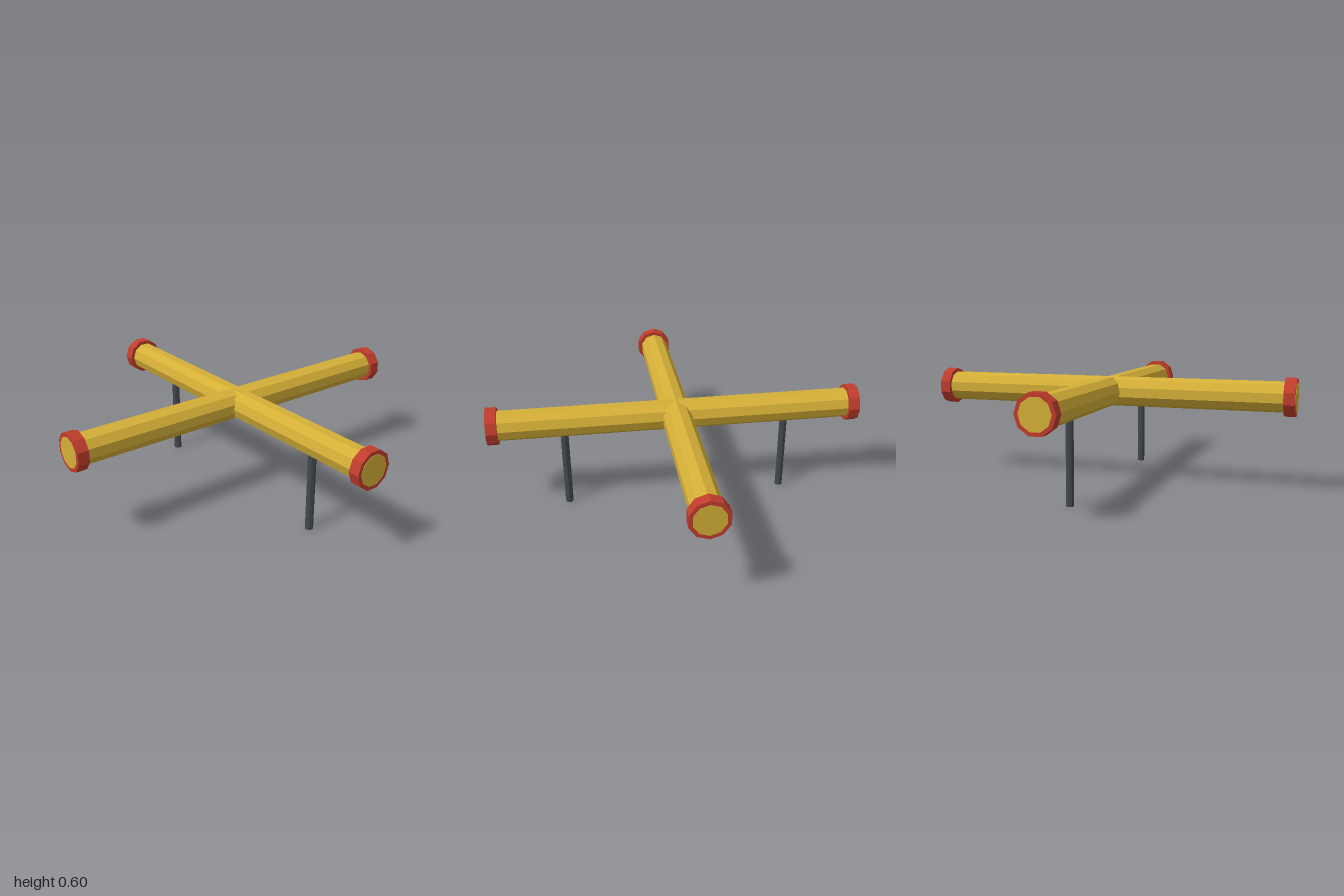
import * as THREE from 'three';

export function createModel() {
  const model = new THREE.Group();
  const material = (name, color) => {
    const m = new THREE.MeshStandardMaterial({ color, flatShading: true });
    m.name = name;
    return m;
  };
  const gold = material('gold', 0xd4af37);
  const red = material('red', 0xc03d2c);
  const steel = material('dark steel', 0x44474f);

  const rod = (parent, name, mat, radius, length, sides, x, y) => {
    const mesh = new THREE.Mesh(new THREE.CylinderGeometry(radius, radius, length, sides), mat);
    mesh.name = name;
    mesh.position.set(x, y, 0);
    parent.add(mesh);
  };

  // A ten-sided pipe along local y with a collar at each end;
  // the pipe end stands a hair proud of the collar
  const pipe = (name) => {
    const group = new THREE.Group();
    group.name = name;
    rod(group, name + 'Tube', gold, 0.08, 2, 10, 0, 0);
    for (const s of [-1, 1]) rod(group, name + 'Collar', red, 0.1, 0.058, 10, 0, s * 0.969);
    group.position.y = 0.5;
    model.add(group);
    return group;
  };

  // Two pipes crossing at right angles
  pipe('crossPipe').rotation.z = Math.PI / 2;
  pipe('longPipe').rotation.x = Math.PI / 2;

  // Legs under the cross pipe
  for (const s of [-1, 1]) rod(model, s > 0 ? 'leftLeg' : 'rightLeg', steel, 0.021, 0.43, 8, s * 0.6, 0.215);

  return model;
}
